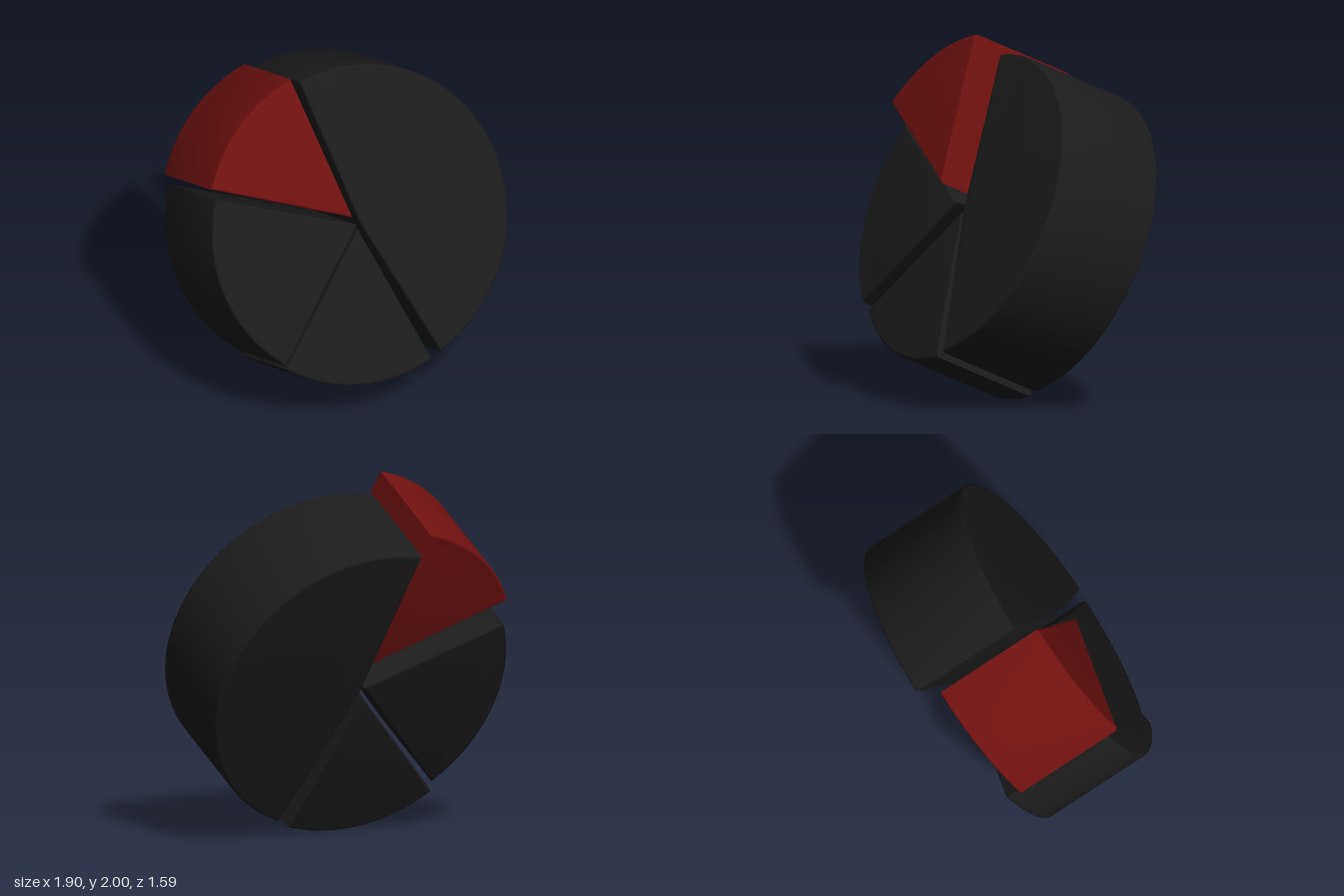
import * as THREE from 'three';
import { toCreasedNormals } from 'three/addons/utils/BufferGeometryUtils.js';

const THICKNESS = 0.67;
const BEVEL = 0.018;

// Pie wedge with softly rounded edges; its front face lies on z = 0
function wedgeGeometry(radius, startDeg, endDeg) {
  const start = THREE.MathUtils.degToRad(startDeg);
  const end = THREE.MathUtils.degToRad(endDeg);
  const shape = new THREE.Shape();
  shape.moveTo(0, 0);
  shape.lineTo(radius * Math.cos(start), radius * Math.sin(start));
  shape.absarc(0, 0, radius, start, end, false);
  shape.lineTo(0, 0);
  const geometry = new THREE.ExtrudeGeometry(shape, {
    depth: THICKNESS - 2 * BEVEL,
    curveSegments: 64,
    bevelEnabled: true,
    bevelSize: BEVEL,
    bevelOffset: -BEVEL,
    bevelThickness: BEVEL,
    bevelSegments: 4,
  });
  geometry.translate(0, 0, BEVEL - THICKNESS);
  return toCreasedNormals(geometry, 0.3);
}

export function createModel() {
  const dark = new THREE.MeshStandardMaterial({ color: 0x1b1b1b });
  const red = new THREE.MeshStandardMaterial({ color: 0x701111 });

  // Each slice: radius, start and end angle, shift of its tip (across, up, forward)
  const slices = [
    { name: 'halfSlice', radius: 0.893, from: 292, to: 463.2, at: [0, 0, 0], material: dark },
    { name: 'raisedSlice', radius: 0.882, from: 104, to: 155.3, at: [-0.088, 0.073, 0.132], material: red },
    { name: 'sideSlice', radius: 0.88, from: 156.3, to: 229.5, at: [-0.03, 0.003, 0.03], material: dark },
    { name: 'bottomSlice', radius: 0.88, from: 229.4, to: 289.5, at: [-0.013, -0.03, -0.014], material: dark },
  ];

  const pie = new THREE.Group();
  pie.name = 'pie';
  for (const s of slices) {
    const mesh = new THREE.Mesh(wedgeGeometry(s.radius, s.from, s.to), s.material);
    mesh.name = s.name;
    mesh.position.set(...s.at);
    pie.add(mesh);
  }

  // Tilt the pie so its face looks forward, up and to the side
  const normal = new THREE.Vector3(1, 1, 2).normalize();
  const across = new THREE.Vector3(2, 0, -1).normalize();
  const up = new THREE.Vector3().crossVectors(normal, across);
  pie.quaternion.setFromRotationMatrix(new THREE.Matrix4().makeBasis(across, up, normal));

  const model = new THREE.Group();
  model.name = 'pieChart';
  model.add(pie);

  // Centre the model and stand it on the ground
  const box = new THREE.Box3().setFromObject(model, true);
  const centre = box.getCenter(new THREE.Vector3());
  pie.position.set(-centre.x, -box.min.y, -centre.z);
  return model;
}
